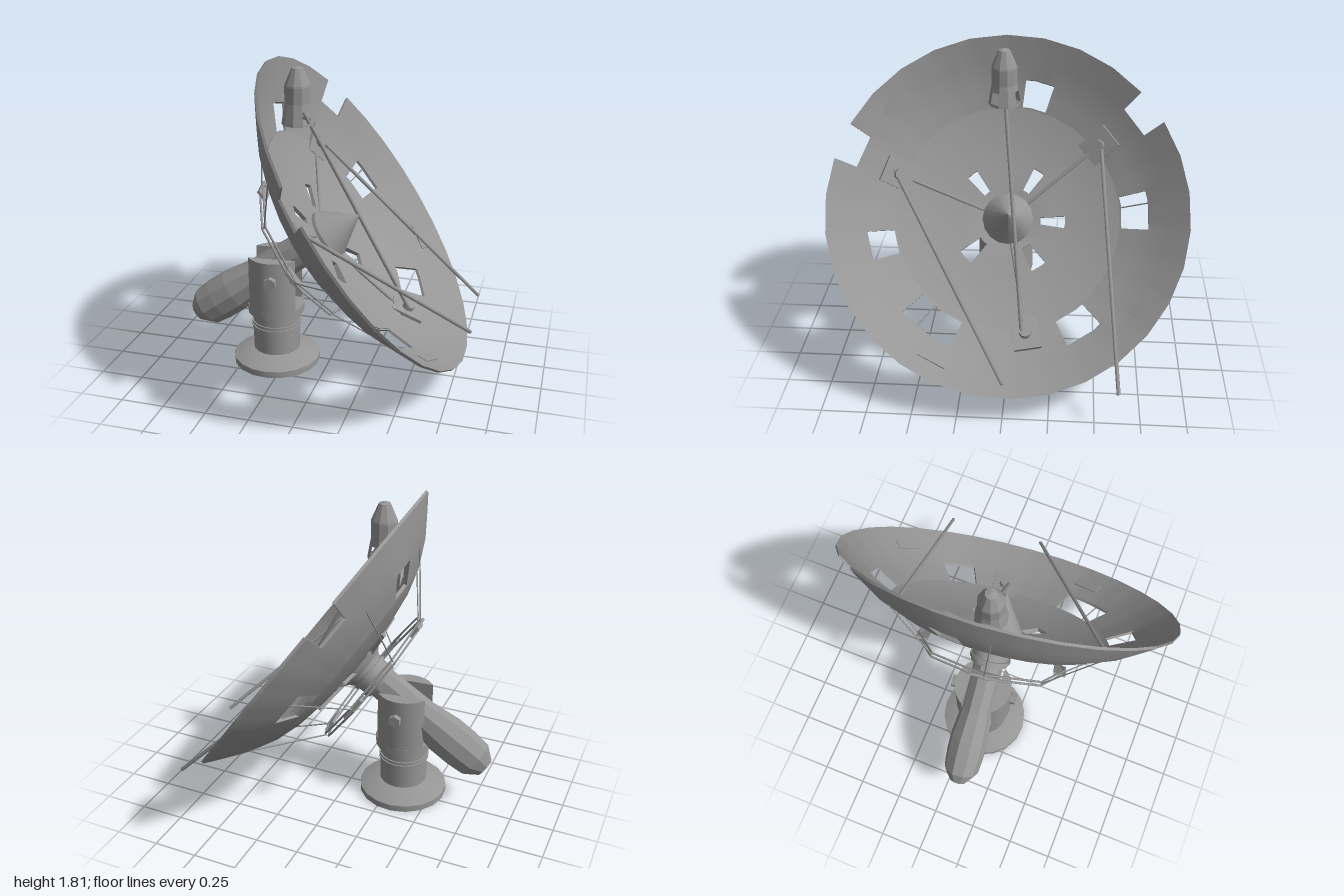
import * as THREE from 'three';
import { toCreasedNormals } from 'three/addons/utils/BufferGeometryUtils.js';

const V = (x, y, z) => new THREE.Vector3(x, y, z);
const rad = THREE.MathUtils.degToRad;
const GREY = 0x969696;
const mat = new THREE.MeshStandardMaterial({ color: GREY });
const flat = new THREE.MeshStandardMaterial({ color: GREY, flatShading: true });
const thin = new THREE.MeshStandardMaterial({ color: GREY, flatShading: true, side: THREE.DoubleSide });

function add(parent, name, geo, material = mat, x = 0, y = 0, z = 0) {
  const m = new THREE.Mesh(geo, material);
  m.name = name;
  m.position.set(x, y, z);
  parent.add(m);
  return m;
}

function lathe(profile, sides) {
  const g = new THREE.LatheGeometry(profile.map(([r, y]) => new THREE.Vector2(r, y)), sides);
  return toCreasedNormals(g, 0.45);
}

// straight round bar between two points
function rod(parent, name, a, b, r) {
  const d = b.clone().sub(a);
  const m = add(parent, name, new THREE.CylinderGeometry(r, r, d.length(), 6));
  m.position.copy(a).add(b).multiplyScalar(0.5);
  m.quaternion.setFromUnitVectors(V(0, 1, 0), d.normalize());
}

// bowl profile: radius, height along the dish axis
const BOWL = [[0.1, -0.335], [0.2, -0.315], [0.35, -0.3], [0.5, -0.275], [0.63, -0.235],
  [0.786, -0.155], [0.9, -0.072], [0.995, 0]];
function bowlY(r) {
  let i = 1;
  while (i < BOWL.length - 1 && r > BOWL[i][0]) i++;
  const [r0, y0] = BOWL[i - 1], [r1, y1] = BOWL[i];
  return y0 + (y1 - y0) * (r - r0) / (r1 - r0);
}
// angle 0 is the upper edge of the dish, growing towards +z
const polar = (deg, r, y) => V(-r * Math.cos(rad(deg)), y, r * Math.sin(rad(deg)));
const onBowl = (deg, r, lift = 0) => polar(deg, r, bowlY(r) + lift);

// thick curved sheet of polar cells; cuts are [centre angle, width, inner radius, outer radius]
function sheet(radii, cuts, top, bottom) {
  const N = 90, step = 360 / N, pos = [];
  const solid = (i, j) => {
    if (j < 0 || j >= radii.length - 1) return false;
    const a = (i + 0.5) * step, r = (radii[j] + radii[j + 1]) / 2;
    return !cuts.some(([c, w, r0, r1]) => {
      const d = Math.abs(((a - c + 540) % 360 + 360) % 360 - 180);
      return d < w / 2 && r > r0 && r < r1;
    });
  };
  // the outline is a polygon of 30 sides
  const point = (k, j, lift) => {
    const a = k * step, f = Math.cos(rad(6)) / Math.cos(rad(a % 12 - 6));
    return polar(a, radii[j] * f, bowlY(radii[j]) + lift);
  };
  const quad = (a, b, c, d) => [a, b, c, a, c, d].forEach(p => pos.push(p.x, p.y, p.z));
  for (let i = 0; i < N; i++) for (let j = 0; j < radii.length - 1; j++) {
    if (!solid(i, j)) continue;
    const corner = [[i, j], [i, j + 1], [i + 1, j + 1], [i + 1, j]];
    const T = corner.map(([k, l]) => point(k, l, top));
    const B = corner.map(([k, l]) => point(k, l, bottom));
    quad(...T);
    quad(B[3], B[2], B[1], B[0]);
    const next = [[i - 1, j], [i, j + 1], [i + 1, j], [i, j - 1]];
    next.forEach(([k, l], e) => {
      const f = (e + 1) % 4;
      if (!solid((k + N) % N, l)) quad(T[f], T[e], B[e], B[f]);
    });
  }
  const g = new THREE.BufferGeometry();
  g.setAttribute('position', new THREE.Float32BufferAttribute(pos, 3));
  return toCreasedNormals(g, 0.5);
}

// group lying on the bowl, its x axis pointing outwards along the surface
function mount(parent, name, deg, r) {
  const g = new THREE.Group();
  g.name = name;
  g.position.copy(onBowl(deg, r, 0.01));
  g.rotation.set(0, rad(deg + 180), Math.atan2(bowlY(r + 0.03) - bowlY(r - 0.03), 0.06));
  parent.add(g);
  return g;
}

function buildPedestal(root) {
  const p = new THREE.Group();
  p.name = 'pedestal';
  p.position.set(-0.317, 0, 0.053);
  p.rotation.y = 0.08;
  root.add(p);
  add(p, 'base', lathe([[0, 0], [0.257, 0], [0.257, 0.038], [0.15, 0.085], [0, 0.085]], 18));
  add(p, 'column', new THREE.CylinderGeometry(0.138, 0.138, 0.29, 18), mat, 0, 0.215, 0);
  for (const y of [0.235, 0.258]) add(p, 'columnRing', new THREE.CylinderGeometry(0.146, 0.146, 0.014, 18), mat, 0, y, 0);
  add(p, 'collar', new THREE.CylinderGeometry(0.167, 0.167, 0.045, 18), mat, 0, 0.348, 0);
  // two curved cheeks holding the arm
  const half = Math.acos(0.09 / 0.165);
  const s = new THREE.Shape();
  s.absarc(0, 0, 0.165, Math.PI / 2 - half, Math.PI / 2 + half, false);
  s.closePath();
  const cheek = toCreasedNormals(new THREE.ExtrudeGeometry(s, { depth: 0.32, bevelEnabled: false, curveSegments: 6 }), 0.5);
  cheek.rotateX(-Math.PI / 2);
  for (const side of [0, 1]) {
    add(p, 'forkCheek', cheek, mat, 0, 0.363, 0).rotation.y = side * Math.PI;
    const bolt = add(p, 'pivotBolt', new THREE.CylinderGeometry(0.036, 0.036, 0.05, 6), flat, 0.01, 0.57, side ? -0.17 : 0.17);
    bolt.rotation.x = Math.PI / 2;
  }
}

function buildDish(root) {
  const d = new THREE.Group();
  d.name = 'dishAssembly';
  d.position.set(0.23, 0.995, 0);
  d.rotation.set(0, 0.08, rad(-54.5), 'YXZ');
  root.add(d);

  // outer bowl with windows and rim notches
  add(d, 'bowl', sheet([0.63, 0.645, 0.71, 0.79, 0.88, 0.94, 0.995], [
    [-14, 14, 0.645, 0.79], [-88, 14, 0.645, 0.79], [102, 14, 0.645, 0.79], [-148, 14, 0.645, 0.79],
    [144, 24, 0.645, 0.79], [66, 12, 0.88, 1], [-54, 12, 0.88, 1]], 0.006, -0.01));
  // inner panel with openings around the hub
  add(d, 'innerPanel', sheet([0.1, 0.19, 0.26, 0.33, 0.5, 0.635],
    [38, -34, -94, -148, 132].map(a => [a, 16, 0.19, 0.33]), 0.012, -0.01));

  add(d, 'hubCone', lathe([[0, -0.32], [0.145, -0.3], [0.145, -0.28], [0, -0.07]], 16));
  add(d, 'hubNeck', lathe([[0, -0.5], [0.11, -0.5], [0.11, -0.4], [0.125, -0.37], [0.19, -0.325], [0, -0.315]], 16));
  for (const y of [-0.47, -0.41]) add(d, 'neckRing', new THREE.CylinderGeometry(0.122, 0.122, 0.018, 16), mat, 0, y, 0);
  add(d, 'arm', lathe([[0, -1.275], [0.062, -1.275], [0.12, -1.2], [0.13, -1.1], [0.13, -0.98],
    [0.105, -0.8], [0.1, -0.48], [0, -0.48]], 10), flat).scale.z = 0.87;

  // ribs beside the openings, close behind the inner panel
  for (const a of [52, -20, -80, -134, 146]) {
    const rib = mount(d, 'rib', a, 0.25);
    add(rib, 'ribBar', new THREE.BoxGeometry(0.2, 0.03, 0.02), mat, 0, -0.025, 0);
  }
  // strut plates with bosses, and the spokes leading to them
  for (const a of [68, -52, -172]) {
    rod(d, 'spoke', onBowl(a, 0.13, 0.012), onBowl(a, 0.6, 0.012), 0.009);
    const g = mount(d, 'strutPlate', a, 0.665);
    add(g, 'plate', new THREE.BoxGeometry(0.19, 0.02, 0.15), mat, 0, 0.008, 0);
    add(g, 'boss', new THREE.CylinderGeometry(0.034, 0.036, 0.025, 8), mat, 0, 0.03, 0);
  }
  // small raised panels on the bowl
  for (const a of [44, -124, 152]) {
    const g = mount(d, 'raisedPanel', a, 0.88);
    add(g, 'panel', new THREE.BoxGeometry(0.06, 0.012, 0.17));
  }
  // eight-sided frame behind the dish, with corner plates and stay rods
  for (let k = 0; k < 8; k++) {
    const a = 5 + 45 * k;
    for (const y of [-0.452, -0.43]) rod(d, 'frameBar', polar(a, 0.44, y), polar(a + 45, 0.44, y), 0.006);
    rod(d, 'stayRod', polar(a, 0.44, -0.44), onBowl(a, 0.81, -0.005), 0.004);
    if (k % 2) continue;
    const plate = add(d, 'framePlate', new THREE.BoxGeometry(0.07, 0.016, 0.15));
    plate.position.copy(polar(a, 0.41, -0.441));
    plate.rotation.y = rad(a + 180);
  }
}

function buildFeed(root) {
  // one strut still holds the feed, two hang loose
  rod(root, 'feedStrut', V(0.46, 0.35, -0.09), V(-0.17, 1.6, 0.05), 0.011);
  rod(root, 'looseStrut', V(-0.02, 1.11, 0.66), V(0.83, 0.3, -0.01), 0.011);
  rod(root, 'looseStrut', V(-0.2, 1.22, -0.5), V(0.8, 0.24, -0.62), 0.011);

  const f = new THREE.Group();
  f.name = 'feed';
  f.position.set(-0.17, 0, 0.048);
  root.add(f);
  add(f, 'feedCap', lathe([[0.072, 1.68], [0.07, 1.69], [0.032, 1.78], [0, 1.788]], 10), flat);
  add(f, 'feedFloor', new THREE.CylinderGeometry(0.07, 0.07, 0.01, 10), mat, 0, 1.595, 0);
  // facetted housing, with openings left out of the skirt
  const bands = [[0.09, 1.47, 0.088, 1.485, []], [0.088, 1.485, 0.077, 1.55, [1, 4, 7]],
    [0.077, 1.55, 0.07, 1.59, []], [0.072, 1.59, 0.072, 1.68, []]];
  for (const [r0, y0, r1, y1, open] of bands) for (let k = 0; k < 10; k++) {
    if (open.includes(k)) continue;
    const pts = [new THREE.Vector2(r0, y0), new THREE.Vector2(r1, y1)];
    add(f, 'feedHousing', new THREE.LatheGeometry(pts, 1, k * Math.PI / 5, Math.PI / 5), thin);
  }
}

export function createModel() {
  const root = new THREE.Group();
  root.name = 'dishAntenna';
  buildPedestal(root);
  buildDish(root);
  buildFeed(root);
  return root;
}
